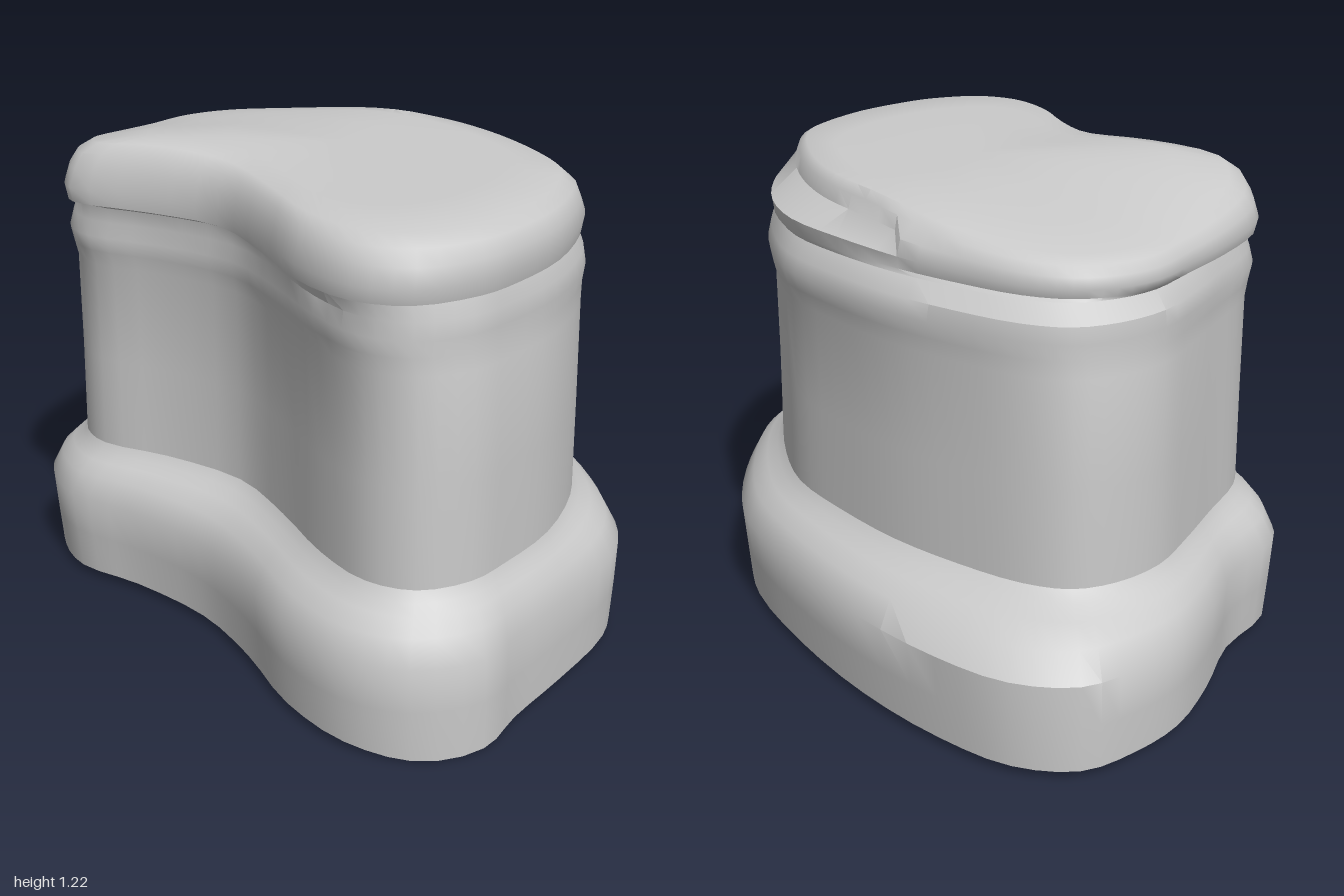
import * as THREE from 'three';
import { toCreasedNormals } from 'three/addons/utils/BufferGeometryUtils.js';

const SIDES = 78;
const CENTRE = [0, 0.05];

// closed bean outlines as x,z pairs, running from the back round the left side to the front
const FOOT = [0.2, -1, 0.34, -0.92, 0.45, -0.75, 0.55, -0.5, 0.62, -0.2, 0.65, 0.1, 0.62, 0.28, 0.53, 0.52, 0.44, 0.68,
  0.33, 0.78, 0.1, 0.88, -0.1, 0.95, -0.23, 1, -0.4, 0.95, -0.5, 0.82, -0.53, 0.62, -0.5, 0.38, -0.5, 0.15,
  -0.57, -0.1, -0.65, -0.28, -0.64, -0.42, -0.58, -0.54, -0.4, -0.65, -0.25, -0.8, -0.1, -0.92, 0.05, -0.98];
const WALL = [0.14, -0.82, 0.23, -0.75, 0.33, -0.6, 0.42, -0.42, 0.49, -0.2, 0.53, 0, 0.51, 0.2, 0.45, 0.42, 0.38, 0.55,
  0.28, 0.67, 0.1, 0.8, -0.08, 0.87, -0.2, 0.9, -0.33, 0.87, -0.4, 0.77, -0.41, 0.6, -0.38, 0.38, -0.37, 0.15,
  -0.46, -0.08, -0.56, -0.25, -0.56, -0.36, -0.5, -0.46, -0.36, -0.58, -0.22, -0.7, -0.1, -0.79, 0.03, -0.83];
const LID = [0.12, -0.76, 0.21, -0.69, 0.3, -0.56, 0.39, -0.4, 0.47, -0.2, 0.52, 0, 0.51, 0.2, 0.45, 0.4, 0.38, 0.54,
  0.28, 0.66, 0.1, 0.8, -0.08, 0.88, -0.2, 0.91, -0.36, 0.89, -0.45, 0.79, -0.47, 0.6, -0.43, 0.38, -0.41, 0.14,
  -0.5, -0.06, -0.61, -0.26, -0.58, -0.36, -0.52, -0.46, -0.36, -0.59, -0.22, -0.68, -0.09, -0.76, 0.02, -0.78];

function outline(flat) {
  const points = [];
  for (let i = 0; i < flat.length; i += 2) points.push(new THREE.Vector3(flat[i], 0, flat[i + 1]));
  const curve = new THREE.CatmullRomCurve3(points, true, 'centripetal');
  return Array.from({ length: SIDES }, (_, i) => curve.getPoint(i / SIDES));
}
const foot = outline(FOOT), wall = outline(WALL), lid = outline(LID);

// one cross-section: blend two outlines by t, then scale about the centre
function ring(y, from, to = from, t = 0, sx = 1, sz = sx) {
  return from.map((p, i) => {
    const q = p.clone().lerp(to[i], t);
    return q.set(CENTRE[0] + (q.x - CENTRE[0]) * sx, y, CENTRE[1] + (q.z - CENTRE[1]) * sz);
  });
}

// skin between cross-sections listed from the bottom up
function loft(name, rings, material, crease) {
  const data = [];
  const tri = (a, b, c) => {
    if (a.distanceTo(b) < 1e-5 || b.distanceTo(c) < 1e-5 || c.distanceTo(a) < 1e-5) return;
    for (const p of [a, b, c]) data.push(p.x, p.y, p.z);
  };
  for (let r = 0; r < rings.length - 1; r++) {
    for (let i = 0; i < SIDES; i++) {
      const j = (i + 1) % SIDES, lo = rings[r], hi = rings[r + 1];
      tri(lo[i], hi[i], hi[j]);
      tri(lo[i], hi[j], lo[j]);
    }
  }
  const geometry = new THREE.BufferGeometry();
  geometry.setAttribute('position', new THREE.Float32BufferAttribute(data, 3));
  const mesh = new THREE.Mesh(toCreasedNormals(geometry, crease), material);
  mesh.name = name;
  return mesh;
}

// uneven top: a soft rise near the right, falling toward the back
function warpLid(p) {
  const rise = 0.03 * Math.exp(-((p.x + 0.36) ** 2 + (p.z + 0.12) ** 2) / 0.08);
  const fall = 0.06 * THREE.MathUtils.smoothstep(-p.z, 0.15, 0.8);
  p.y = 1.04 + (p.y - 1.04) * (1 + (rise - fall) / 0.15);
  // wider bevel on the left side
  if (p.y > 1.12 && p.x > 0.3) p.x -= (p.x - 0.3) * 0.35;
}

export function createModel() {
  const group = new THREE.Group();
  group.name = 'beanShapedPedestal';
  const material = new THREE.MeshStandardMaterial({ color: 0xcccccc });

  // spreading foot with a flat underside and a rounded shoulder
  const footRings = [
    ring(0.02, foot, foot, 0, 0),
    ring(0.02, foot, foot, 0, 0.97, 0.995),
    ring(0.13, foot, foot, 0, 0.985, 1),
    ring(0.24, foot),
    ring(0.3, foot, wall, 0.28),
    ring(0.335, foot, wall, 0.6),
    ring(0.355, foot, wall, 0.85),
    ring(0.38, wall),
  ];
  // slight sag at the front corner
  for (const p of footRings[1]) p.y -= 0.02 * Math.exp(-((p.x + 0.32) ** 2 + (p.z - 0.97) ** 2) / 0.03);
  group.add(loft('foot', footRings, material, 0.7));

  // upright wall with a thin moulding below the lid
  group.add(loft('wall', [
    ring(0.38, wall),
    ring(0.62, wall, wall, 0, 0.995, 1),
    ring(0.88, wall, wall, 0, 1, 0.99),
    ring(0.92, wall, wall, 0, 1.02, 0.98),
    ring(0.96, wall, wall, 0, 1.035, 0.985),
    ring(1.0, wall, wall, 0, 1.015, 0.98),
    ring(1.04, wall, lid, 0.5, 0.98, 0.96),
  ], material, 0.55));

  // overhanging lid with rounded rim
  const lidRings = [
    ring(1.04, wall, lid, 0.5, 0.98, 0.96),
    ring(1.05, lid, lid, 0, 1, 0.99),
    ring(1.085, lid, lid, 0, 1.01, 1),
    ring(1.13, lid, lid, 0, 0.985, 0.995),
    ring(1.165, lid, lid, 0, 0.95, 0.97),
    ring(1.185, lid, lid, 0, 0.89, 0.92),
    ring(1.19, lid, lid, 0, 0.7),
    ring(1.19, lid, lid, 0, 0.4),
    ring(1.19, lid, lid, 0, 0),
  ];
  lidRings.flat().forEach(warpLid);
  group.add(loft('lid', lidRings, material, 0.7));
  return group;
}
